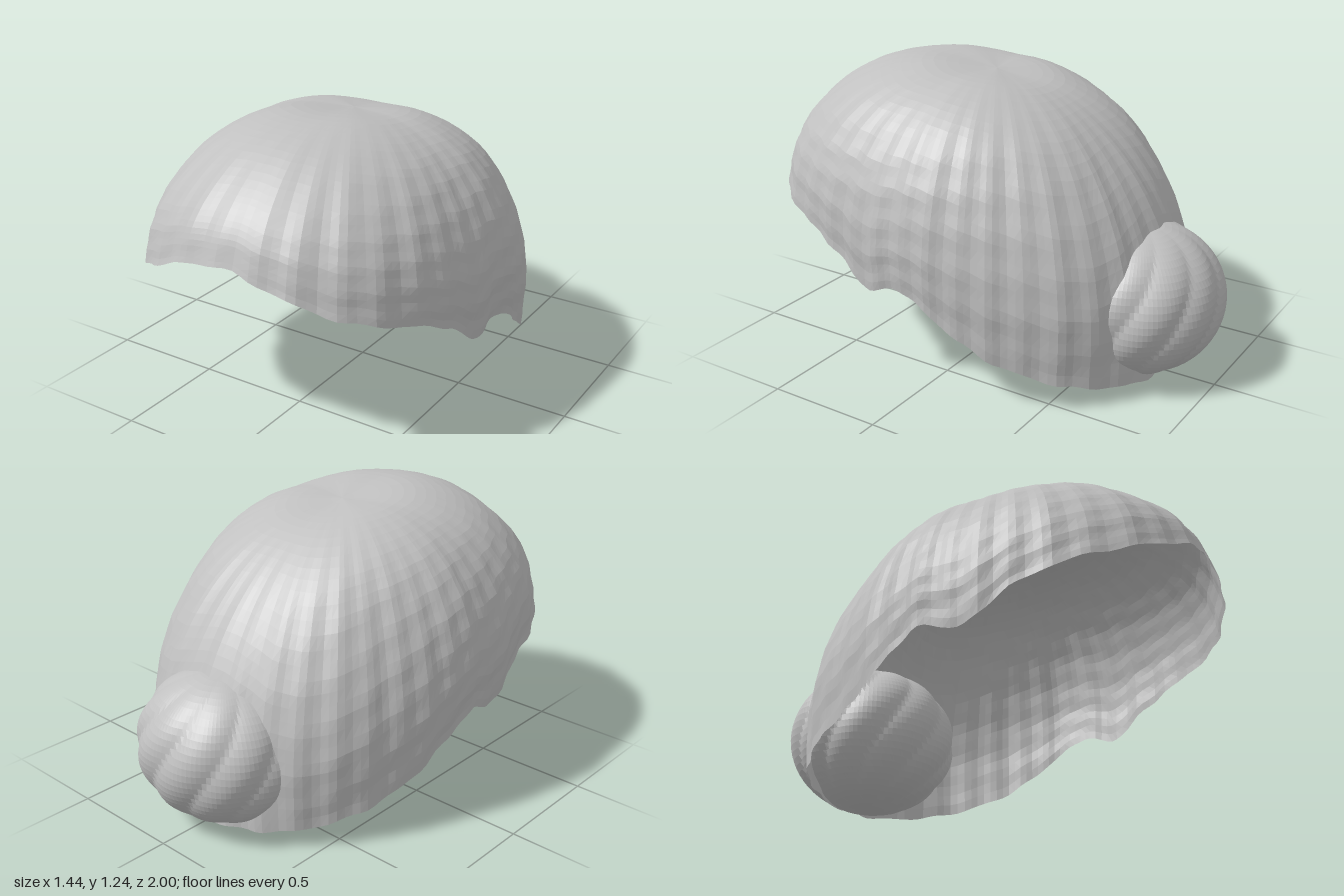
import * as THREE from 'three';

// Meridians of the hair shell: angle from the front, then [radius, height] from crown to hem
const MERIDIANS = [
  [0, [0, 1.2], [0.33, 1.235], [0.58, 1.185], [0.78, 1.06], [0.88, 0.95], [0.93, 0.83]],
  [30, [0, 1.2], [0.32, 1.23], [0.58, 1.155], [0.78, 1.0], [0.88, 0.85], [0.925, 0.68]],
  [60, [0, 1.2], [0.3, 1.205], [0.54, 1.1], [0.69, 0.93], [0.765, 0.73], [0.77, 0.53]],
  [75, [0, 1.2], [0.28, 1.195], [0.5, 1.09], [0.655, 0.89], [0.725, 0.64], [0.72, 0.4]],
  [90, [0, 1.2], [0.28, 1.19], [0.5, 1.08], [0.65, 0.88], [0.712, 0.64], [0.705, 0.43]],
  [120, [0, 1.2], [0.28, 1.175], [0.52, 1.03], [0.67, 0.79], [0.745, 0.5], [0.74, 0.2]],
  [150, [0, 1.2], [0.29, 1.15], [0.56, 0.98], [0.755, 0.69], [0.845, 0.38], [0.84, 0.08]],
  [180, [0, 1.2], [0.28, 1.14], [0.51, 0.995], [0.71, 0.765], [0.835, 0.48], [0.86, 0.03]],
];
const CROWN_Z = 0.07;

const curves = MERIDIANS.map(([, ...pts]) =>
  new THREE.CatmullRomCurve3(pts.map(([r, y]) => new THREE.Vector3(r, y, 0))));

// Point on the shell's section, blended smoothly between neighbouring meridians
function section(deg, t) {
  let i = 0;
  while (i < MERIDIANS.length - 2 && deg > MERIDIANS[i + 1][0]) i++;
  const a = MERIDIANS[i][0], b = MERIDIANS[i + 1][0];
  // cubic blend through four neighbours, mirrored across the centre line
  const last = curves.length - 1;
  const at = (n) => curves[n < 0 ? -n : n > last ? 2 * last - n : n].getPoint(t);
  const angle = (n) => (n < 0 ? -MERIDIANS[-n][0] : n > last ? 360 - MERIDIANS[2 * last - n][0] : MERIDIANS[n][0]);
  const p0 = at(i - 1), p1 = at(i), p2 = at(i + 1), p3 = at(i + 2);
  const k = (deg - a) / (b - a);
  const m1 = p2.clone().sub(p0).multiplyScalar((b - a) / (b - angle(i - 1)));
  const m2 = p3.clone().sub(p1).multiplyScalar((b - a) / (angle(i + 2) - a));
  return p1.multiplyScalar((1 + 2 * k) * (1 - k) ** 2)
    .addScaledVector(m1, k * (1 - k) ** 2)
    .addScaledVector(p2, k * k * (3 - 2 * k))
    .addScaledVector(m2, k * k * (k - 1));
}

function faceted(geometry) {
  const g = geometry.toNonIndexed();
  g.computeVertexNormals();
  return g;
}

// Open shell of combed strands
function shellGeometry() {
  const g = new THREE.PlaneGeometry(1, 1, 160, 30);
  const pos = g.attributes.position, uv = g.attributes.uv;
  for (let i = 0; i < pos.count; i++) {
    const theta = (uv.getX(i) * 2 - 1) * Math.PI;
    const t = 1 - uv.getY(i);
    const p = section(Math.min(180, Math.abs(THREE.MathUtils.radToDeg(theta))), t);
    // uneven strand ridges and faint waves that fade out at the crown
    const ridge = Math.sin(theta * 36 + t * 2) * 0.006 + Math.sin(theta * 17 - t * 3) * 0.004
      + Math.sin(t * 60 + theta * 9) * 0.003 * Math.abs(Math.sin(theta));
    const r = p.x * (1 + ridge * Math.min(1, t * 2));
    const hem = Math.sin(theta * 23) * 0.005 * t ** 4;
    pos.setXYZ(i, r * Math.sin(theta), p.y + hem, CROWN_Z + r * Math.cos(theta));
  }
  return faceted(g);
}

// Ball of twisted locks
function bunGeometry() {
  const g = new THREE.SphereGeometry(1, 120, 36);
  const pos = g.attributes.position;
  const v = new THREE.Vector3();
  for (let i = 0; i < pos.count; i++) {
    v.fromBufferAttribute(pos, i);
    const phi = Math.atan2(v.x, v.z) - v.y * 0.6;
    const ring = Math.min(1, Math.hypot(v.x, v.z) * 1.5);
    const lobe = 1 - 0.05 * ring * (1 - Math.abs(Math.sin(phi * 5 + 0.3)));
    pos.setXYZ(i, v.x * lobe * 0.382, v.y * 0.323, v.z * lobe * 0.363);
  }
  return faceted(g);
}

export function createModel() {
  const group = new THREE.Group();
  group.name = 'hair';
  const hair = new THREE.MeshStandardMaterial({ color: 0xc0c0c0, side: THREE.DoubleSide });
  hair.name = 'light grey hair';

  const shell = new THREE.Mesh(shellGeometry(), hair);
  shell.name = 'hairShell';

  const bun = new THREE.Mesh(bunGeometry(), hair);
  bun.name = 'bun';
  bun.position.set(0, 0.323, -0.638);

  group.add(shell, bun);
  return group;
}
